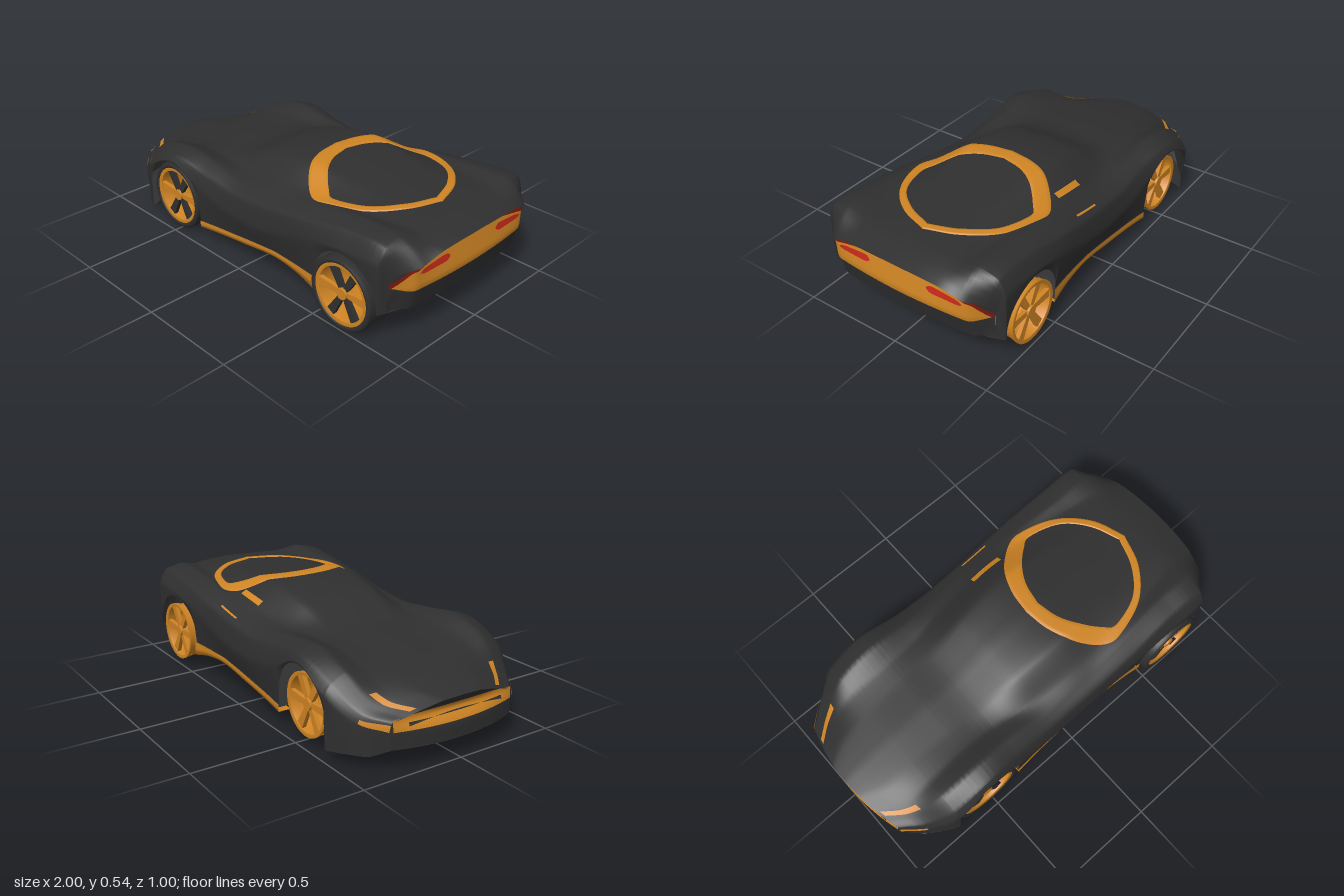
import * as THREE from 'three';

const mat = (name, color) => {
  const m = new THREE.MeshStandardMaterial({ color, side: THREE.DoubleSide });
  m.name = name;
  return m;
};

// Smooth interpolation through (xs, ys)
function curve(xs, ys, x) {
  const n = xs.length;
  let i = 0;
  while (i < n - 2 && x > xs[i + 1]) i++;
  const slope = (k) => {
    const a = Math.max(0, k - 1), b = Math.min(n - 1, k + 1);
    return (ys[b] - ys[a]) / (xs[b] - xs[a]);
  };
  const h = xs[i + 1] - xs[i], t = THREE.MathUtils.clamp((x - xs[i]) / h, 0, 1), t2 = t * t, t3 = t2 * t;
  return (2 * t3 - 3 * t2 + 1) * ys[i] + (t3 - 2 * t2 + t) * h * slope(i)
    + (3 * t2 - 2 * t3) * ys[i + 1] + (t3 - t2) * h * slope(i + 1);
}
function linear(xs, ys, x) {
  let i = 0;
  while (i < xs.length - 2 && x > xs[i + 1]) i++;
  return THREE.MathUtils.lerp(ys[i], ys[i + 1], THREE.MathUtils.clamp((x - xs[i]) / (xs[i + 1] - xs[i]), 0, 1));
}
const range = (a, b, n) => Array.from({ length: n + 1 }, (_, i) => a + (b - a) * i / n);

// Grid surface from a rule f(u, v) -> [x, y, z]
function patch(us, vs, f) {
  const pos = [], idx = [], w = vs.length;
  us.forEach((u) => vs.forEach((v) => pos.push(...f(u, v))));
  for (let i = 0; i < us.length - 1; i++) for (let j = 0; j < w - 1; j++) {
    const a = i * w + j;
    idx.push(a, a + 1, a + w, a + 1, a + w + 1, a + w);
  }
  const g = new THREE.BufferGeometry();
  g.setAttribute('position', new THREE.Float32BufferAttribute(pos, 3));
  g.setIndex(idx);
  g.computeVertexNormals();
  return g;
}

// Body feature lines along x: centre, roof edge, cabin base, fender peak, shoulder, flank, sill
const X = [-1, -0.9, -0.72, -0.52, -0.3, -0.1, 0.15, 0.4, 0.66, 0.87, 1];
const LINE_Y = [
  [0.285, 0.315, 0.355, 0.385, 0.415, 0.497, 0.532, 0.512, 0.485, 0.468, 0.443],
  [0.28, 0.308, 0.35, 0.38, 0.408, 0.485, 0.523, 0.505, 0.48, 0.466, 0.437],
  [0.258, 0.28, 0.35, 0.388, 0.392, 0.405, 0.445, 0.462, 0.465, 0.462, 0.425],
  [0.235, 0.258, 0.372, 0.428, 0.41, 0.385, 0.41, 0.455, 0.482, 0.48, 0.392],
  [0.22, 0.24, 0.335, 0.405, 0.375, 0.35, 0.37, 0.415, 0.46, 0.457, 0.35],
  [0.185, 0.195, 0.285, 0.376, 0.29, 0.25, 0.26, 0.33, 0.388, 0.385, 0.29],
];
const LINE_Z = [
  X.map(() => 0),
  [0.1, 0.15, 0.16, 0.17, 0.18, 0.2, 0.21, 0.19, 0.16, 0.16, 0.15],
  [0.2, 0.26, 0.28, 0.28, 0.29, 0.32, 0.335, 0.315, 0.29, 0.26, 0.25],
  [0.27, 0.335, 0.375, 0.38, 0.38, 0.4, 0.4, 0.385, 0.36, 0.36, 0.34],
  [0.32, 0.395, 0.455, 0.465, 0.455, 0.46, 0.465, 0.465, 0.452, 0.45, 0.42],
  [0.33, 0.415, 0.487, 0.487, 0.482, 0.48, 0.482, 0.487, 0.49, 0.487, 0.45],
  [0.32, 0.41, 0.48, 0.487, 0.465, 0.455, 0.455, 0.465, 0.49, 0.485, 0.445],
];
const ARCHES = [-0.52, 0.66], AXLE_Y = 0.175, ARCH_R = 0.19;

const baseY = (x) => linear([-1, -0.94, -0.7, -0.33, -0.1, 0.2, 0.48, 1], [0.1, 0.06, 0.05, 0.11, 0.13, 0.165, 0.165, 0.16], x);
const sillY = (x) => curve([-0.33, 0, 0.2, 0.35, 0.48], [0.08, 0.115, 0.14, 0.13, 0.1], x);
function bottomY(x) {
  let y = baseY(x);
  for (const c of ARCHES) {
    const d = ARCH_R * ARCH_R - (x - c) ** 2;
    if (d > 0) y = Math.max(y, AXLE_Y + Math.sqrt(d));
  }
  return y;
}
// Rounds the nose and tail in plan, and rakes the tail
function bend(x, y, z) {
  const nose = Math.max(0, (-0.72 - x) / 0.28), tail = Math.max(0, (x - 0.85) / 0.15);
  const cut = Math.min(0.13, 0.15 * z * z + 0.7 * Math.max(0, Math.abs(z) - 0.36) + 0.25 * Math.max(0, 0.445 - y));
  return x + nose * 0.5 * z * z - tail * cut;
}
// Cross-section at x: softly creased along the feature lines
const K = [0, 1, 2, 3, 4, 5, 6];
function section(x) {
  const low = bottomY(x);
  const ys = [...LINE_Y.map((l) => curve(X, l, x)), low], zs = LINE_Z.map((l) => curve(X, l, x));
  const soft = (vals, s) => 0.4 * curve(K, vals, s) + 0.6 * linear(K, vals, s);
  return (s) => ({ z: Math.sign(s) * soft(zs, Math.abs(s)), y: Math.max(low, soft(ys, Math.abs(s))) });
}
function bodyPoint(x, s) {
  const { y, z } = section(x)(s);
  return [bend(x, y, z), y, z];
}
// Height of the upper surface above (x, z)
function heightAt(x, z) {
  const sec = section(x);
  let lo = 0, hi = 5;
  for (let i = 0; i < 18; i++) {
    const m = (lo + hi) / 2;
    if (sec(m).z < Math.abs(z)) lo = m; else hi = m;
  }
  return sec(lo).y;
}

export function createModel() {
  const black = mat('satin black', 0x2f2f2f), orange = mat('burnt orange', 0xcf8423);
  const red = mat('lamp red', 0xc8281a), darkRed = mat('dark red', 0x84180e);
  const car = new THREE.Group();
  car.name = 'sportsCar';
  const body = new THREE.Group();
  body.name = 'bodywork';
  body.position.z = -0.008;
  car.add(body);
  const add = (name, geo, m, parent = body) => {
    const mesh = new THREE.Mesh(geo, m);
    mesh.name = name;
    parent.add(mesh);
    return mesh;
  };

  // Open shell with cut wheel arches
  const xs = range(-1, 1, 64);
  for (const c of ARCHES) {
    for (const a of range(0, Math.PI, 24)) xs.push(c - ARCH_R * Math.cos(a));
    xs.push(c - ARCH_R - 0.0005, c + ARCH_R + 0.0005);
  }
  xs.sort((a, b) => a - b);
  add('bodyShell', patch(xs.filter((x, i) => !i || x - xs[i - 1] > 1e-5), range(-6, 6, 72), bodyPoint), black);

  // Nose face with a mouth, tail face recessed beneath its lip
  const across = range(-1, 1, 32), unit = range(0, 1, 12);
  const noseX = (y, z) => bend(-1, y, z) + 0.035 * Math.exp(-(((y - 0.23) / 0.035) ** 2)) * (1 - (z / 0.34) ** 2);
  const tailX = (y, z) => bend(1, y, z) - 0.055 * THREE.MathUtils.clamp((y - 0.28) / 0.13, 0, 1) * Math.max(0, 1 - (z / 0.45) ** 4);
  const face = (xEnd, half, low, fx) => patch(across, unit, (u, v) => {
    const z = u * half, y = THREE.MathUtils.lerp(low, heightAt(xEnd, z), v);
    return [fx(y, z), y, z];
  });
  add('noseFace', face(-1, 0.328, 0.1, noseX), black);
  add('tailFace', face(1, 0.448, 0.16, tailX), black);

  // Floor panels
  const floor = (name, a, b, width, fy) => add(name, patch(range(a, b, 14), range(-1, 1, 16), (x, u) => {
    const z = u * width(x), y = fy(x, u);
    return [bend(x, y, z), y, z];
  }), black);
  const sillWidth = (x) => curve(X, LINE_Z[6], x);
  floor('noseFloor', -1, -0.712, sillWidth, (x, u) => THREE.MathUtils.lerp(0.098, baseY(x), u ** 4));
  floor('frontFloor', -0.712, -0.33, () => 0.26, () => 0.098);
  floor('midFloor', -0.33, 0.47, sillWidth, (x) => Math.max(0.098, sillY(x)));
  floor('rearFloor', 0.47, 0.86, () => 0.265, (x) => THREE.MathUtils.lerp(0.1, 0.16, (x - 0.47) / 0.39));
  floor('tailFloor', 0.852, 1, sillWidth, baseY);

  // Front grille with a thin dark bar across it
  const grille = (name, y0, y1, half, lift, m) => add(name, patch(across, range(0, 1, 6), (u, v) => {
    const z = u * half, y = THREE.MathUtils.lerp(y0, y1 - 0.02 * u * u, v);
    return [noseX(y, z) - lift, y, z];
  }), m);
  grille('frontGrille', 0.178, 0.25, 0.318, 0.005, orange);
  grille('grilleBar', 0.212, 0.217, 0.25, 0.009, black);

  // Rear panel
  const tailPoint = (y, z, lift) => [tailX(y, z) + lift, y, z];
  const PZ = [0, 0.13, 0.375, 0.44], panelTop = (z) => linear(PZ, [0.415, 0.4, 0.355, 0.285], Math.abs(z));
  const panelLow = (z) => linear([0, 0.38, 0.44], [0.26, 0.262, 0.283], Math.abs(z));
  add('rearPanel', patch(range(-0.438, 0.438, 48), range(0, 1, 8), (z, v) =>
    tailPoint(THREE.MathUtils.lerp(panelLow(z), panelTop(z), v), z, 0.006)), orange);

  for (const side of [1, -1]) {
    const label = side > 0 ? 'Near' : 'Far';
    // Tail lamps: a dark strip over the panel and a teardrop within it
    add('tailStrip' + label, patch(range(0.12, 0.45, 24), [0, 0.5, 1], (z, v) =>
      tailPoint(panelTop(z) + v * linear([0.12, 0.375, 0.45], [0.016, 0.02, 0.03], z), side * z, 0.009)), darkRed);
    add('tailLamp' + label, patch(range(-1, 1, 24), [-1, 0, 1], (u, v) =>
      tailPoint(0.348 - 0.004 * u + v * (0.0145 - 0.004 * u) * (1 - u ** 8), side * (0.248 + 0.092 * u), 0.01)), red);
    // Headlamp streaks and mouth corners
    add('headlampStreak' + label, patch(range(0, 1, 12), [0, 0.5, 1], (t, v) => {
      const p = bodyPoint(-0.985 + 0.145 * t, side * (2.05 + 0.35 * t + 0.4 * v));
      return [p[0] - 0.003, p[1] + 0.005, p[2] + side * 0.001];
    }), orange);
    add('mouthCorner' + label, patch(range(0, 1, 8), range(0, 1, 4), (t, v) => {
      const p = bodyPoint(-1 + 0.1 * t, side * (4.3 + 0.2 * t + (0.75 - 0.4 * t) * v));
      return [p[0] - 0.004, p[1], p[2] + side * 0.004];
    }), orange);
    // Side sills, folding in under the floor
    add('sideSill' + label, patch(range(-0.33, 0.48, 30), [0, 0.5, 1, 2], (x, v) => {
      const z = sillWidth(x) + 0.004, t = Math.min(v, 1);
      return [x, THREE.MathUtils.lerp(baseY(x), sillY(x) - 0.004, t), side * (v > 1 ? z - 0.06 : z)];
    }), orange);
  }
  // Exposed trim along the far waistline and window
  const trim = (name, x0, x1, s0, s1) => add(name, patch(range(x0, x1, 10), range(s0, s1, 3), (x, s) => {
    const p = bodyPoint(x, -s);
    return [p[0], p[1] + 0.005, p[2] - 0.003];
  }), orange);
  trim('waistTrim', 0.1, 0.25, 3.45, 3.58);
  trim('windowTrim', 0.07, 0.24, 1.75, 1.98);

  // Roof ring draped over the upper surface, its edges tucked in
  const T = [0, 1, 2, 3, 4, 5, 6, 7];
  const OUT_X = [0.13, 0.15, 0.21, 0.33, 0.43, 0.6, 0.72, 0.78], OUT_Z = [0, 0.13, 0.25, 0.35, 0.354, 0.29, 0.16, 0];
  const IN_X = [0.205, 0.23, 0.285, 0.365, 0.43, 0.585, 0.688, 0.743], IN_Z = [0, 0.11, 0.2, 0.275, 0.308, 0.258, 0.14, 0];
  add('roofRing', patch(range(-7, 7, 112), [0, 0.04, 0.25, 0.5, 0.75, 0.96, 1], (u, v) => {
    const t = Math.abs(u), mix = (a, b) => THREE.MathUtils.lerp(curve(T, a, t), curve(T, b, t), v);
    const x = mix(OUT_X, IN_X), z = mix(OUT_Z, IN_Z) * Math.sign(u);
    return [x, heightAt(x, z) + (v === 0 || v === 1 ? -0.003 : 0.004), z];
  }), orange);

  // Wheels: tyres are fitted on the near side only
  const lathe = (pts) => new THREE.LatheGeometry(pts.map((p) => new THREE.Vector2(...p)), 48).rotateX(Math.PI / 2);
  const paddleShape = new THREE.Shape([[0.015, -0.012], [0.142, -0.021], [0.142, 0.021], [0.015, 0.012]].map((p) => new THREE.Vector2(...p)));
  for (const x of ARCHES) for (const side of [1, -1]) {
    const wheel = new THREE.Group();
    wheel.name = (x < 0 ? 'front' : 'rear') + 'Wheel' + (side > 0 ? 'Near' : 'Far');
    const out = x < 0 ? 0.465 : 0.5, inner = 0.285 - out;
    wheel.position.set(x, AXLE_Y, side * out);
    if (side < 0) wheel.rotation.y = Math.PI;
    car.add(wheel);
    add('rimBarrel', lathe([[0.13, -0.008], [0.147, -0.004], [0.147, -0.01], [0.139, -0.05], [0.139, inner + 0.01], [0.146, inner - 0.012], [0.132, inner - 0.014]]), orange, wheel);
    if (side > 0) {
      add('tyre', lathe([[0.146, -0.006], [0.152, 0], [0.166, 0], [0.175, -0.012], [0.175, inner + 0.012], [0.166, inner], [0.146, inner]]), black, wheel);
    }
    add('hub', new THREE.CylinderGeometry(0.027, 0.032, 0.04, 24).rotateX(Math.PI / 2), orange, wheel).position.z = -0.03;
    for (let i = 0; i < 6; i++) {
      const paddle = side > 0 && i % 3 !== 0;
      const spoke = add('spoke', new THREE.ExtrudeGeometry(paddleShape, { depth: 0.02, bevelEnabled: false }), paddle ? black : orange, wheel);
      spoke.rotation.z = i * Math.PI / 3;
      spoke.position.z = -0.04;
    }
  }
  return car;
}
